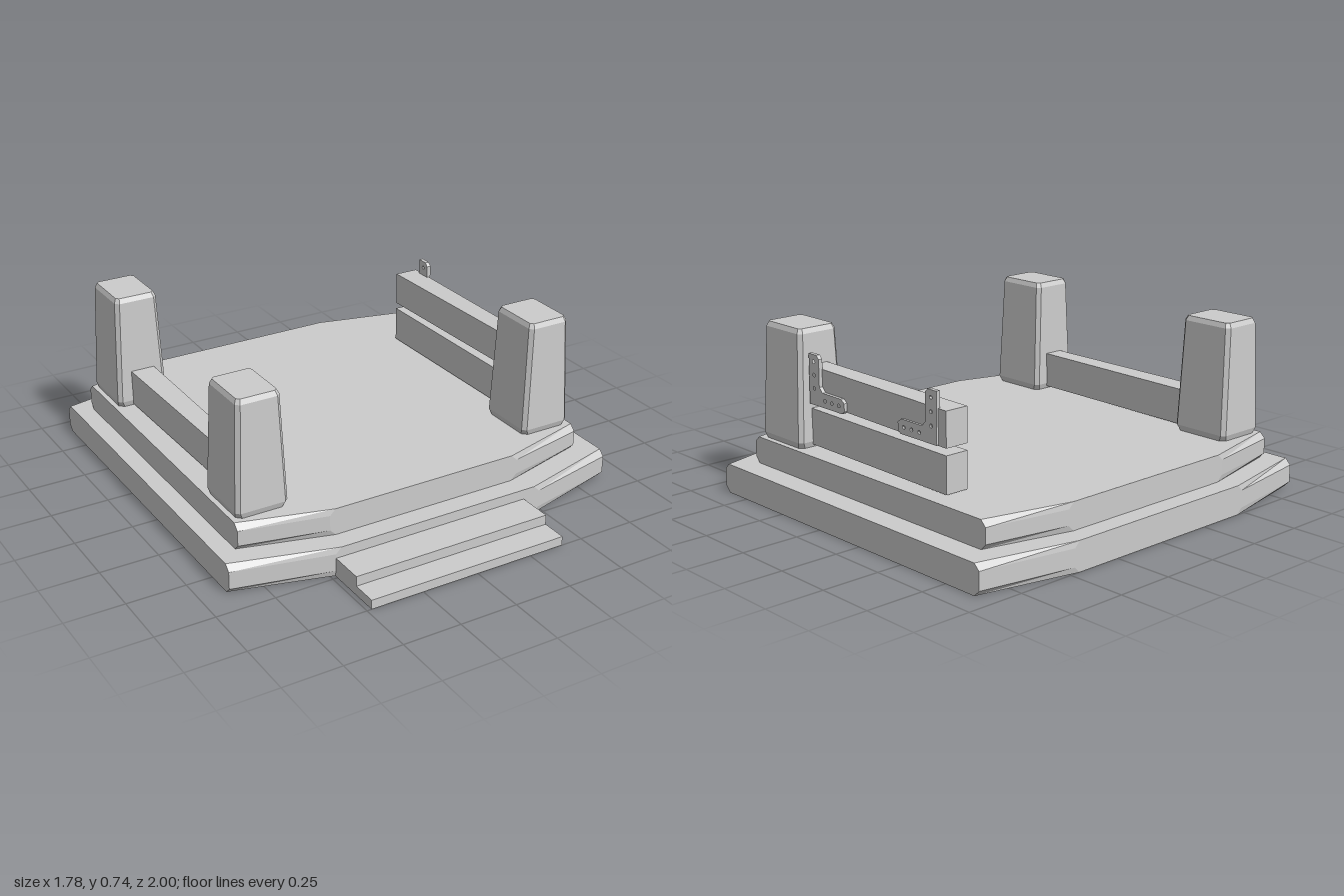
import * as THREE from 'three';

const grey = new THREE.MeshStandardMaterial({ color: 0xcccccc, flatShading: true });
const shell = new THREE.MeshStandardMaterial({ color: 0xcccccc, flatShading: true, side: THREE.DoubleSide });

function add(group, name, geometry, material = grey) {
  const mesh = new THREE.Mesh(geometry, material);
  mesh.name = name;
  group.add(mesh);
  return mesh;
}

// Joins stacked rings {y, pts: [[x, z], ...]} from bottom to top, with optional caps.
function loft(rings, capBottom = true) {
  const pos = [];
  const n = rings[0].pts.length;
  const at = (r, i) => [r.pts[i % n][0], r.y, r.pts[i % n][1]];
  const middle = (r) => [
    r.pts.reduce((s, p) => s + p[0], 0) / n, r.y, r.pts.reduce((s, p) => s + p[1], 0) / n];
  for (let k = 0; k < rings.length - 1; k++) {
    for (let i = 0; i < n; i++) {
      const a = at(rings[k], i), b = at(rings[k], i + 1);
      const c = at(rings[k + 1], i + 1), d = at(rings[k + 1], i);
      pos.push(...a, ...b, ...c, ...a, ...c, ...d);
    }
  }
  const low = rings[0], top = rings[rings.length - 1];
  for (let i = 0; i < n; i++) {
    pos.push(...middle(top), ...at(top, i), ...at(top, i + 1));
    if (capBottom) pos.push(...middle(low), ...at(low, i + 1), ...at(low, i));
  }
  const geometry = new THREE.BufferGeometry();
  geometry.setAttribute('position', new THREE.Float32BufferAttribute(pos, 3));
  geometry.computeVertexNormals();
  return geometry;
}

// Platform tier: eight-sided plan whose slanted faces are bevelled top and bottom.
function tier({ cx, half, flat, front, frontSide, back, backSide, y0, y1 }, capBottom) {
  const outline = (y, bevel) => {
    const f = flat - bevel, zf = frontSide - bevel, zb = backSide + bevel;
    const pts = [[-f, front], [f, front], [half, zf], [half, zb],
      [f, back], [-f, back], [-half, zb], [-half, zf]];
    return { y, pts: pts.map(([x, z]) => [x + cx, z]) };
  };
  return loft([outline(y0, 0.025), outline(y0 + 0.025, 0),
    outline(y1 - 0.025, 0), outline(y1, 0.025)], capBottom);
}

// Tapered post with clipped corners.
function post() {
  const ring = (y, hx, hz, c) => ({
    y,
    pts: [[-hx + c, hz], [hx - c, hz], [hx, hz - c], [hx, -hz + c],
      [hx - c, -hz], [-hx + c, -hz], [-hx, -hz + c], [-hx, hz - c]],
  });
  return loft([ring(0.24, 0.106, 0.125, 0.02), ring(0.265, 0.113, 0.133, 0.016),
    ring(0.715, 0.094, 0.121, 0.016), ring(0.735, 0.085, 0.11, 0.012)]);
}

// Hewn beam along z, narrower at the front; lift raises the front end.
function rail(x, yLow, yHigh, lift) {
  const zBack = -0.56, zFront = 0.285;
  const g = new THREE.BoxGeometry(0.105, yHigh - yLow, zFront - zBack);
  const p = g.attributes.position;
  for (let i = 0; i < p.count; i++) {
    if (p.getZ(i) > 0) {
      p.setX(i, p.getX(i) * 0.82);
      p.setY(i, p.getY(i) + lift);
    }
  }
  g.translate(x, (yLow + yHigh) / 2, (zFront + zBack) / 2);
  g.computeVertexNormals();
  return g;
}

// L-shaped bracket plate with bolt holes; s mirrors it along z.
function bracket(s) {
  const pts = [[0, 0], [0.21, 0], [0.225, 0.012], [0.225, 0.045], [0.205, 0.06], [0.085, 0.06],
    [0.065, 0.08], [0.065, 0.195], [0.05, 0.21], [0, 0.21]];
  const shape = new THREE.Shape(pts.map(([u, v]) => new THREE.Vector2(u * s, v)));
  for (const [u, v] of [[0.032, 0.18], [0.032, 0.125], [0.032, 0.07], [0.1, 0.03], [0.145, 0.03], [0.19, 0.03]]) {
    const hole = new THREE.Path();
    hole.absarc(u * s, v, 0.008, 0, Math.PI * 2, true);
    shape.holes.push(hole);
  }
  const g = new THREE.ExtrudeGeometry(shape, { depth: 0.018, bevelEnabled: false, curveSegments: 4 });
  return g.rotateY(-Math.PI / 2);
}

// Open-bottomed stair: a stepped profile swept across x, closed at both ends.
function stairs(x0, x1) {
  const profile = [[1, 0], [1, 0.04], [0.89, 0.04], [0.89, 0.082], [0.71, 0.082]];
  const pos = [];
  for (let i = 0; i < profile.length - 1; i++) {
    const [za, ya] = profile[i], [zb, yb] = profile[i + 1];
    pos.push(x0, ya, za, x1, ya, za, x1, yb, zb, x0, ya, za, x1, yb, zb, x0, yb, zb);
  }
  // Each end is two rectangles, one per step.
  for (const x of [x0, x1]) {
    for (const [za, zb, h] of [[0.89, 1, 0.04], [0.71, 0.89, 0.082]]) {
      const c = [[x, 0, zb], [x, 0, za], [x, h, za], [x, h, zb]];
      const order = x === x1 ? [0, 1, 2, 0, 2, 3] : [0, 2, 1, 0, 3, 2];
      order.forEach((k) => pos.push(...c[k]));
    }
  }
  const g = new THREE.BufferGeometry();
  g.setAttribute('position', new THREE.Float32BufferAttribute(pos, 3));
  g.computeVertexNormals();
  return g;
}

export function createModel() {
  const model = new THREE.Group();
  model.name = 'steppedPlatform';

  // Hollow lower tier and the smaller tier on top
  add(model, 'lowerTier', tier({
    cx: 0, half: 0.89, flat: 0.48, front: 0.74, frontSide: 0.645,
    back: -1, backSide: -0.93, y0: 0, y1: 0.125,
  }, false), shell);
  add(model, 'upperTier', tier({
    cx: -0.013, half: 0.798, flat: 0.44, front: 0.65, frontSide: 0.57,
    back: -0.915, backSide: -0.85, y0: 0.125, y1: 0.24,
  }, true));

  // Front steps
  add(model, 'frontSteps', stairs(-0.48, 0.405), shell);

  // Three posts; the back left corner stays open
  const postShape = post();
  for (const [name, x, z] of [['frontRightPost', -0.683, 0.407],
    ['backRightPost', -0.683, -0.69], ['frontLeftPost', 0.655, 0.407]]) {
    add(model, name, postShape).position.set(x, 0, z);
  }

  // Rails
  add(model, 'rightRail', rail(-0.678, 0.247, 0.4, 0.005));
  add(model, 'leftLowerRail', rail(0.662, 0.247, 0.4, 0.005));
  add(model, 'leftUpperRail', rail(0.662, 0.428, 0.572, 0.012));

  // Brackets on the outer face of the loose rail
  add(model, 'frontBracket', bracket(-1)).position.set(0.722, 0.43, 0.265);
  add(model, 'backBracket', bracket(1)).position.set(0.722, 0.43, -0.515);

  return model;
}
